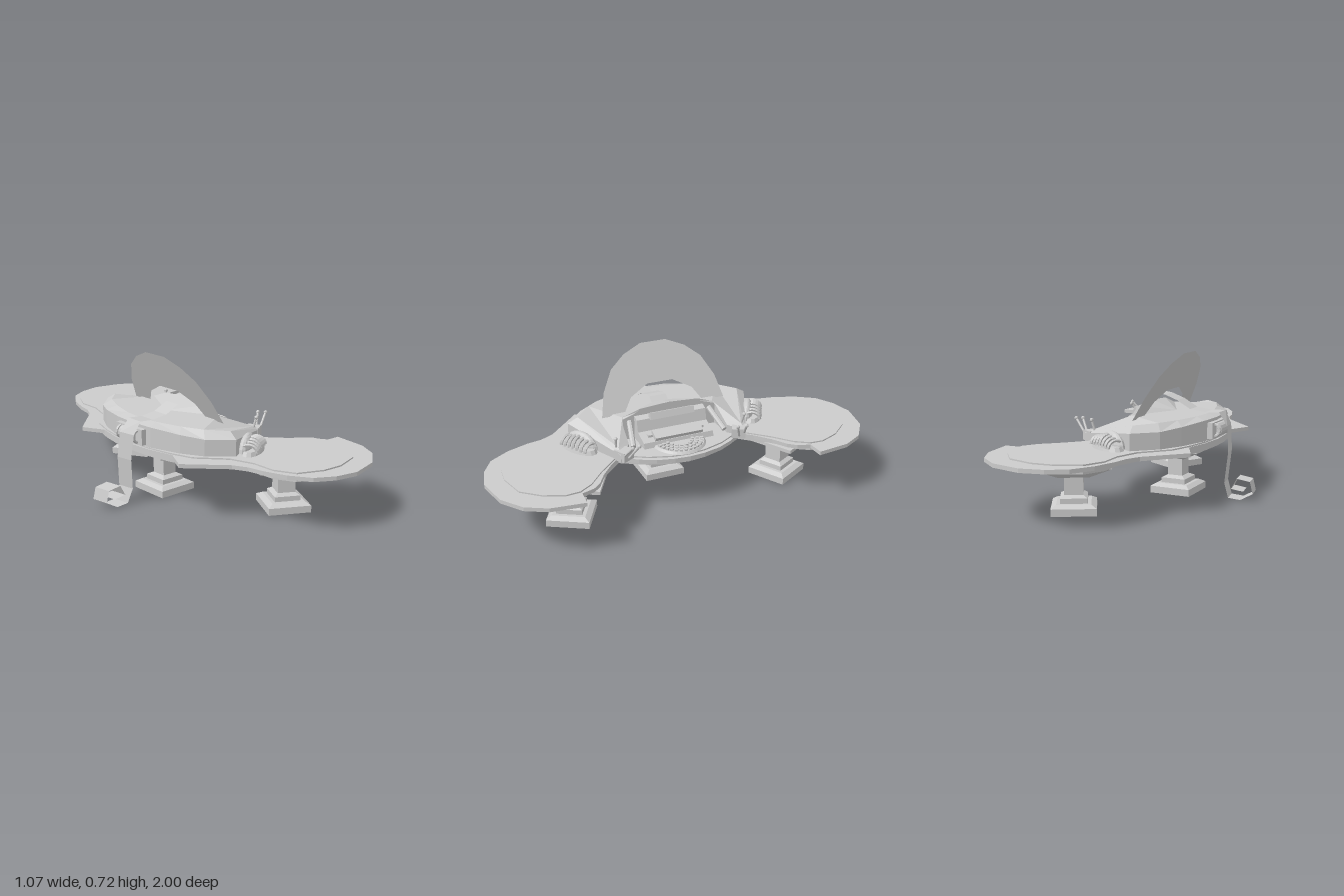
import * as THREE from 'three';

const flat = new THREE.MeshStandardMaterial({ color: 0xcccccc, flatShading: true });
const thin = new THREE.MeshStandardMaterial({ color: 0xcccccc, flatShading: true, side: THREE.DoubleSide });

function add(parent, name, geo, x = 0, y = 0, z = 0, mat = flat) {
  const m = new THREE.Mesh(geo, mat);
  m.name = name;
  m.position.set(x, y, z);
  parent.add(m);
  return m;
}
const box = (w, h, d) => new THREE.BoxGeometry(w, h, d);

// Horizontal slab from an (x, z) half outline mirrored across z = 0
function slab(half, top, depth) {
  const back = half.slice().reverse().filter(p => p[1] > 0).map(([x, z]) => [x, -z]);
  const shape = new THREE.Shape(half.concat(back).map(p => new THREE.Vector2(p[0], p[1])));
  const g = new THREE.ExtrudeGeometry(shape, { depth, bevelEnabled: false });
  return g.rotateX(Math.PI / 2).translate(0, top, 0);
}

// Square tapered block between two heights
function frustum(w0, w1, y0, y1) {
  const g = new THREE.CylinderGeometry(w1 * Math.SQRT1_2, w0 * Math.SQRT1_2, y1 - y0, 4);
  return g.rotateY(Math.PI / 4).translate(0, (y0 + y1) / 2, 0);
}

// Rod between two points
function rod(parent, name, a, b, r) {
  const A = new THREE.Vector3(...a), B = new THREE.Vector3(...b);
  const m = add(parent, name, new THREE.CylinderGeometry(r, r, A.distanceTo(B), 8));
  m.position.copy(A).lerp(B, 0.5);
  m.quaternion.setFromUnitVectors(new THREE.Vector3(0, 1, 0), B.sub(A).normalize());
}

function leg(x, z, angle, column, flareBase, flareTop) {
  const g = new THREE.Group();
  g.name = 'leg';
  g.position.set(x, 0, z);
  g.rotation.y = angle;
  add(g, 'foot', frustum(0.215, 0.215, 0.01, 0.045));
  add(g, 'footBevel', frustum(0.215, 0.165, 0.045, 0.06));
  add(g, 'collar', frustum(0.13, 0.13, 0.06, 0.085));
  add(g, 'collarBevel', frustum(0.13, column, 0.085, 0.098));
  add(g, 'column', frustum(column, column, 0.095, 0.195));
  add(g, 'flare', frustum(flareBase, flareTop, 0.188, 0.25));
  add(g, 'flareSkirt', frustum(flareTop, flareTop, 0.25, 0.268));
  return g;
}

// Half hull: rows hold wall x, z, top y, then roof edge x, z, y
const hullRows = [
  [0.04, 0, 0.45, 0.04, 0, 0.475], [0.04, 0.17, 0.45, 0.04, 0.16, 0.465],
  [0.04, 0.26, 0.42, 0.03, 0.25, 0.43], [0.17, 0.27, 0.35, 0.16, 0.29, 0.365],
  [0.245, 0.34, 0.34, 0.2, 0.335, 0.36], [-0.09, 0.5, 0.39, -0.08, 0.45, 0.42],
  [-0.2, 0.4, 0.39, -0.17, 0.36, 0.425], [-0.26, 0.29, 0.4, -0.22, 0.25, 0.425],
  [-0.31, 0.13, 0.41, -0.26, 0.11, 0.425], [-0.32, 0, 0.41, -0.27, 0, 0.425]];

function hullHalf(s) {
  const pos = [], idx = [], n = hullRows.length;
  hullRows.forEach(([x, z, y, xi, zi, yi]) => pos.push(x, 0.3, z * s, x, y, z * s, xi, yi, zi * s));
  pos.push(-0.1, 0.43, 0);
  const tri = (a, b, c) => (s > 0 ? idx.push(a, c, b) : idx.push(a, b, c));
  for (let i = 0; i < n - 1; i++)
    for (let k = 0; k < 2; k++) {
      const a = i * 3 + k, b = a + 3;
      tri(a, b, b + 1);
      tri(a, b + 1, a + 1);
    }
  const cap = hullRows.map(r => new THREE.Vector2(r[3], r[4]));
  cap.push(new THREE.Vector2(-0.1, 0));
  const id = i => (i === n ? n * 3 : i * 3 + 2);
  // roof faces wind so their normals point up
  THREE.ShapeUtils.triangulateShape(cap, []).forEach(([a, b, c]) => tri(id(a), id(b), id(c)));
  const g = new THREE.BufferGeometry();
  g.setAttribute('position', new THREE.Float32BufferAttribute(pos, 3));
  g.setIndex(idx);
  g.computeVertexNormals();
  return g;
}

// Ribbon along points [x, y, z centre]
function ribbon(path, width, skew) {
  const pos = [], idx = [];
  path.forEach(([x, y, z], i) => {
    pos.push(x, y, z - width / 2, x + (y < 0.4 ? skew : 0), y, z + width / 2);
    if (i) idx.push(2 * i - 2, 2 * i - 1, 2 * i, 2 * i - 1, 2 * i + 1, 2 * i);
  });
  const g = new THREE.BufferGeometry();
  g.setAttribute('position', new THREE.Float32BufferAttribute(pos, 3));
  g.setIndex(idx);
  g.computeVertexNormals();
  return g;
}

// Ribbed vent on the hull flank
function vent(s) {
  const g = new THREE.Group();
  g.name = 'sideVent';
  g.position.set(0.035, 0.3, 0.485 * s);
  g.rotation.y = 0.52 * s;
  add(g, 'ventBase', new THREE.CylinderGeometry(0.1, 0.115, 0.025, 16).scale(1, 1, 0.5), 0, 0.015);
  add(g, 'ventHood', new THREE.SphereGeometry(0.1, 14, 6, 0, Math.PI * 2, 0, Math.PI / 2).scale(1, 0.75, 0.35), 0, 0.015, -0.025 * s);
  for (let i = -3; i <= 3; i++) {
    const rib = add(g, 'ventRib', new THREE.TorusGeometry(0.04, 0.009, 5, 10, Math.PI), i * 0.026, 0.022, 0.005 * s);
    rib.rotation.y = Math.PI / 2;
    rib.scale.y = 1.25 - Math.abs(i) * 0.12;
  }
  return g;
}

export function createModel() {
  const model = new THREE.Group();
  model.name = 'consoleDesk';

  // Desk top: outer rim and raised inner panel
  const front = [[0.318, 0], [0.312, 0.08], [0.29, 0.17], [0.25, 0.25], [0.19, 0.33]];
  const outer = front.concat([[0.245, 0.39], [0.32, 0.455], [0.39, 0.5], [0.425, 0.54], [0.445, 0.605],
    [0.53, 0.61], [0.51, 0.78], [0.455, 0.885], [0.35, 0.965], [0.19, 1], [0.075, 0.975], [-0.02, 0.92],
    [-0.085, 0.82], [-0.125, 0.71], [-0.14, 0.63], [-0.175, 0.56], [-0.235, 0.5], [-0.35, 0.385],
    [-0.29, 0.27], [-0.32, 0.13], [-0.33, 0]]);
  const inner = [[0.3, 0], [0.29, 0.09], [0.255, 0.2], [0.18, 0.33], [0.3, 0.46], [0.39, 0.54], [0.435, 0.61],
    [0.44, 0.68], [0.4, 0.78], [0.325, 0.87], [0.19, 0.905], [0.085, 0.895], [-0.04, 0.84], [-0.09, 0.74],
    [-0.09, 0.62], [-0.13, 0.5], [-0.25, 0.37], [-0.29, 0.25], [-0.315, 0.12], [-0.32, 0]];
  add(model, 'deskRim', slab(outer, 0.3, 0.02));
  add(model, 'deskPanel', slab(inner, 0.307, 0.045));

  // Legs
  model.add(leg(-0.11, 0, 0, 0.08, 0.11, 0.36));
  for (const s of [1, -1]) model.add(leg(0.168, 0.578 * s, -0.51 * s, 0.09, 0.147, 0.36));

  for (const s of [1, -1]) {
    add(model, 'hull', hullHalf(s), 0, 0, 0, thin);
    model.add(vent(s));
    // Lever block and levers at the wing tip
    add(model, 'leverBlock', box(0.07, 0.05, 0.07), 0.215, 0.328, 0.315 * s).rotation.y = 0.5 * s;
    for (const [a, b] of [[[0.24, 0.32, 0.33], [0.315, 0.405, 0.305]], [[0.25, 0.32, 0.3], [0.3, 0.4, 0.265]],
      [[0.18, 0.33, 0.34], [0.2, 0.41, 0.35]]]) {
      a[2] *= s; b[2] *= s;
      rod(model, 'lever', a, b, 0.006);
      add(model, 'leverKnob', new THREE.SphereGeometry(0.01, 8, 6), ...b);
    }
    // Cockpit side rail
    rod(model, 'cockpitRail', [0.05, 0.41, 0.22 * s], [0.18, 0.335, 0.25 * s], 0.014);
  }

  // Sloped control console
  const profile = new THREE.Shape([[0.04, 0.3], [0.18, 0.3], [0.17, 0.335], [0.09, 0.36], [0.075, 0.42], [0.04, 0.43]]
    .map(p => new THREE.Vector2(...p)));
  add(model, 'console', new THREE.ExtrudeGeometry(profile, { depth: 0.38, bevelEnabled: false }), 0, 0, -0.19);
  add(model, 'consoleScreen', box(0.03, 0.035, 0.24), 0.075, 0.43, 0).rotation.z = 0.4;
  add(model, 'consoleShelf', box(0.06, 0.02, 0.26), 0.15, 0.36, 0).rotation.z = -0.4;
  for (let i = -2; i <= 2; i++) add(model, 'consoleButton', box(0.025, 0.012, 0.025), 0.125, 0.352, i * 0.07);

  // Curved keyboard in front of the console
  add(model, 'keyboardBase', new THREE.CylinderGeometry(0.13, 0.14, 0.012, 20, 1, false, 0, Math.PI), 0.165, 0.312, 0, thin);
  for (const [r, n] of [[0.07, 8], [0.095, 11], [0.118, 14]])
    for (let i = 0; i < n; i++) {
      const t = (i / (n - 1) - 0.5) * 2.6;
      add(model, 'key', box(0.016, 0.01, 0.016), 0.165 + r * Math.cos(t), 0.322, -r * Math.sin(t)).rotation.y = t;
    }

  // Rear fitting
  add(model, 'rearPlate', box(0.04, 0.08, 0.2), -0.32, 0.355, 0);
  add(model, 'rearDrum', new THREE.CylinderGeometry(0.035, 0.035, 0.1, 14).rotateX(Math.PI / 2), -0.335, 0.355, 0);
  for (const s of [1, -1])
    add(model, 'rearRing', new THREE.TorusGeometry(0.03, 0.008, 6, 14), -0.335, 0.355, 0.065 * s);

  // Tilted flat arch on the hull
  const arch = new THREE.Shape([[-0.34, 0.42], [-0.31, 0.53], [-0.25, 0.63], [-0.17, 0.69], [-0.07, 0.73], [0.07, 0.73],
    [0.17, 0.69], [0.25, 0.63], [0.31, 0.53], [0.34, 0.42], [0.22, 0.42], [0.17, 0.49], [0.07, 0.54], [-0.07, 0.54],
    [-0.17, 0.49], [-0.22, 0.42]].map(p => new THREE.Vector2(...p)));
  const archGeo = new THREE.ShapeGeometry(arch).rotateY(Math.PI / 2);
  const p = archGeo.attributes.position;
  for (let i = 0; i < p.count; i++) p.setX(i, -0.02 - (p.getY(i) - 0.42) * 0.49);
  archGeo.computeVertexNormals();
  add(model, 'arch', archGeo, 0, 0, 0, thin);

  // Strap over the hull that hangs down the back and curls up
  add(model, 'strap', ribbon([[0.04, 0.49, 0.05], [0.01, 0.51, 0.05], [-0.03, 0.505, 0.05], [-0.1, 0.48, 0.05],
    [-0.175, 0.44, 0.045], [-0.26, 0.43, 0.045], [-0.335, 0.435, 0.04], [-0.385, 0.37, 0.03], [-0.395, 0.24, 0.02],
    [-0.38, 0.085, 0.01], [-0.405, 0.012, 0], [-0.47, 0.008, 0], [-0.535, 0.045, 0], [-0.52, 0.105, 0],
    [-0.45, 0.115, 0], [-0.42, 0.06, 0], [-0.485, 0.052, 0]], 0.09, 0.015), 0, 0, 0, thin);

  return model;
}
